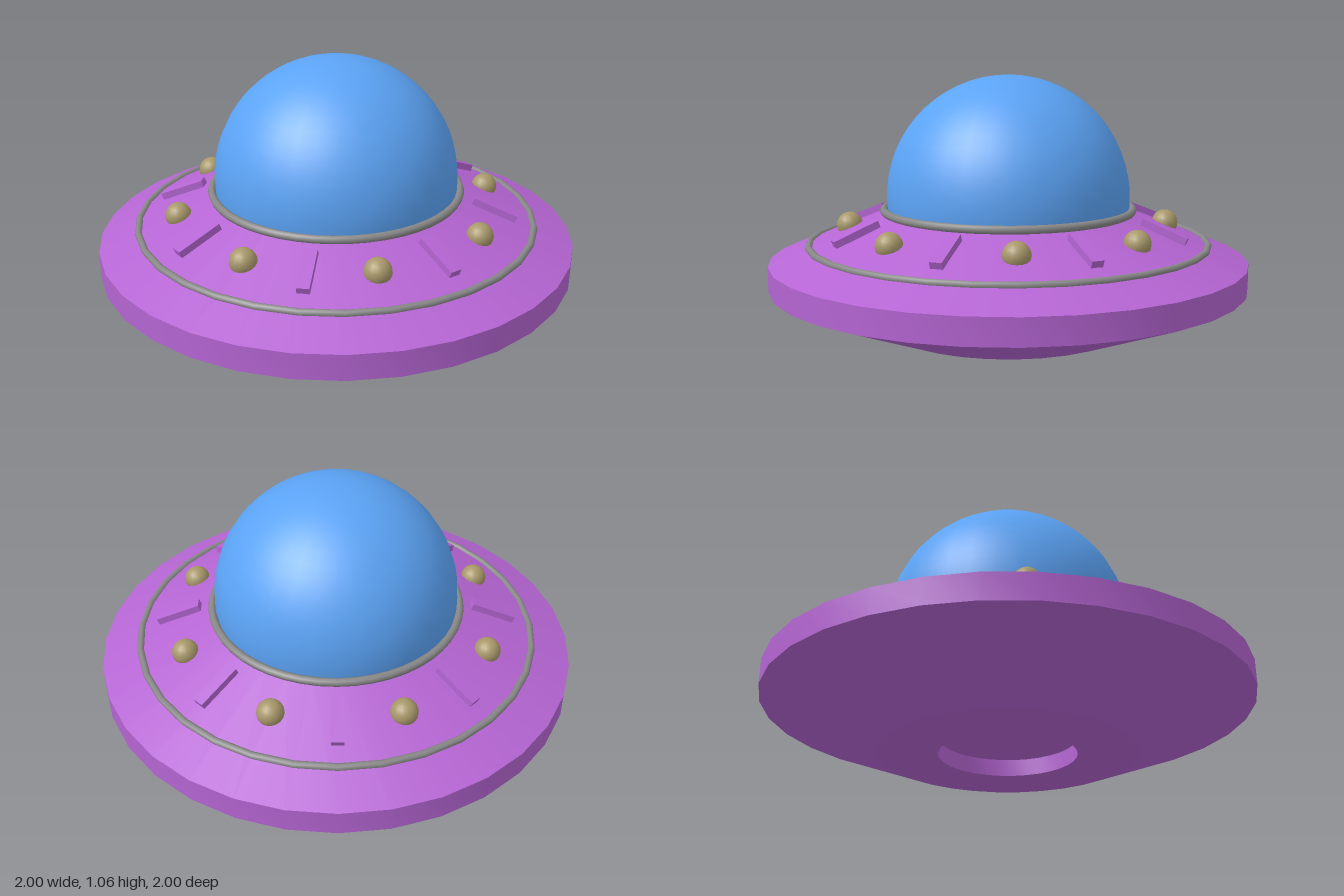
import * as THREE from 'three';
import { toCreasedNormals } from 'three/addons/utils/BufferGeometryUtils.js';

const paint = (color) => new THREE.MeshStandardMaterial({ color });

export function createModel() {
  const saucer = new THREE.Group();
  saucer.name = 'flyingSaucer';
  const purple = paint(0xb565d3);
  const grey = paint(0x888888);
  const gold = paint(0xa8986a);
  const blue = paint(0x5ba3f5);

  const add = (name, geometry, material, parent = saucer) => {
    const mesh = new THREE.Mesh(geometry, material);
    mesh.name = name;
    parent.add(mesh);
    return mesh;
  };

  // Hull: recessed belly, lower cone, rim band and upper cone
  const profile = [
    [0, 0.07], [0.28, 0.07], [0.28, 0], [0.525, 0],
    [1, 0.19], [1, 0.295], [0.5, 0.495], [0, 0.495],
  ].map(([r, y]) => new THREE.Vector2(r, y));
  add('hull', toCreasedNormals(new THREE.LatheGeometry(profile, 32), 0.3), purple);

  // Glass dome, running slightly past its equator into the collar
  const dome = add('dome',
    new THREE.SphereGeometry(0.51, 32, 16, 0, Math.PI * 2, 0, Math.PI * 0.55), blue);
  dome.position.y = 0.55;

  // Trim rings lying on the upper cone
  const ring = (name, radius, tube, y, segments) => {
    const geometry = new THREE.TorusGeometry(radius, tube, 8, segments);
    geometry.rotateX(Math.PI / 2).rotateY(Math.PI / 2);
    add(name, geometry, grey).position.y = y;
  };
  ring('domeCollar', 0.522, 0.017, 0.5, 48);
  ring('outerTrimRing', 0.835, 0.015, 0.362, 32);

  // Alternating raised bars and lamps around the upper cone
  const slope = Math.atan(0.4);
  const barShape = new THREE.BoxGeometry(0.05, 0.04, 0.195).rotateX(slope);
  const lampShape = new THREE.SphereGeometry(0.055, 16, 12);
  for (let i = 0; i < 8; i++) {
    const spoke = new THREE.Group();
    spoke.name = 'spoke' + (i + 1);
    spoke.rotation.y = (i * Math.PI) / 4;
    saucer.add(spoke);
    add('bar', barShape, purple, spoke).position.set(0, 0.437, 0.667);
    const a = Math.PI / 8;
    add('lamp', lampShape, gold, spoke)
      .position.set(0.667 * Math.sin(a), 0.433, 0.667 * Math.cos(a));
  }
  return saucer;
}
